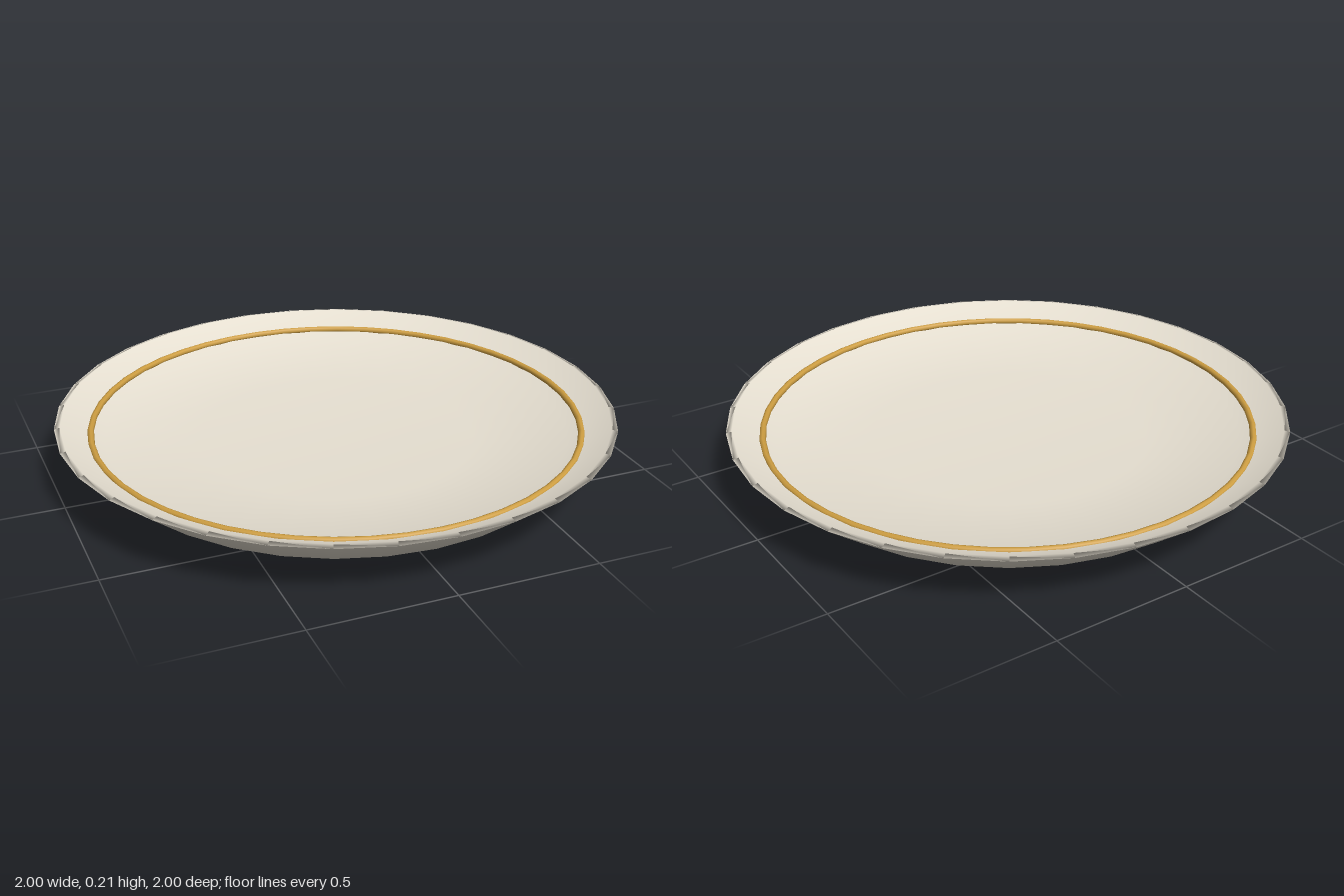
import * as THREE from 'three';

export function createModel() {
  const group = new THREE.Group();
  group.name = 'plate';

  const porcelain = new THREE.MeshStandardMaterial({ color: 0xf0e9da });
  porcelain.name = 'cream porcelain';
  const gold = new THREE.MeshStandardMaterial({ color: 0xcf9f42 });
  gold.name = 'gold trim';

  // Dish: closed profile from the underside, round the lip, to the well
  const profile = [
    [0, 0.025], [0.48, 0.025], [0.52, 0.075], [0.84, 0.077],
    [1, 0.207], [0.98, 0.212], [0.83, 0.138], [0.5, 0.1], [0, 0.1],
  ].map(([r, y]) => new THREE.Vector2(r, y));
  const dish = new THREE.Mesh(new THREE.LatheGeometry(profile, 32), porcelain);
  dish.name = 'dish';
  group.add(dish);

  // Horizontal rings: foot under the dish and trim inside the rim
  const addRing = (name, radius, tube, y, material) => {
    const geometry = new THREE.TorusGeometry(radius, tube, 8, 48);
    geometry.rotateX(Math.PI / 2);
    const ring = new THREE.Mesh(geometry, material);
    ring.name = name;
    ring.position.y = y;
    group.add(ring);
  };
  addRing('footRing', 0.475, 0.017, 0.017, porcelain);
  addRing('goldTrim', 0.877, 0.012, 0.164, gold);

  return group;
}
